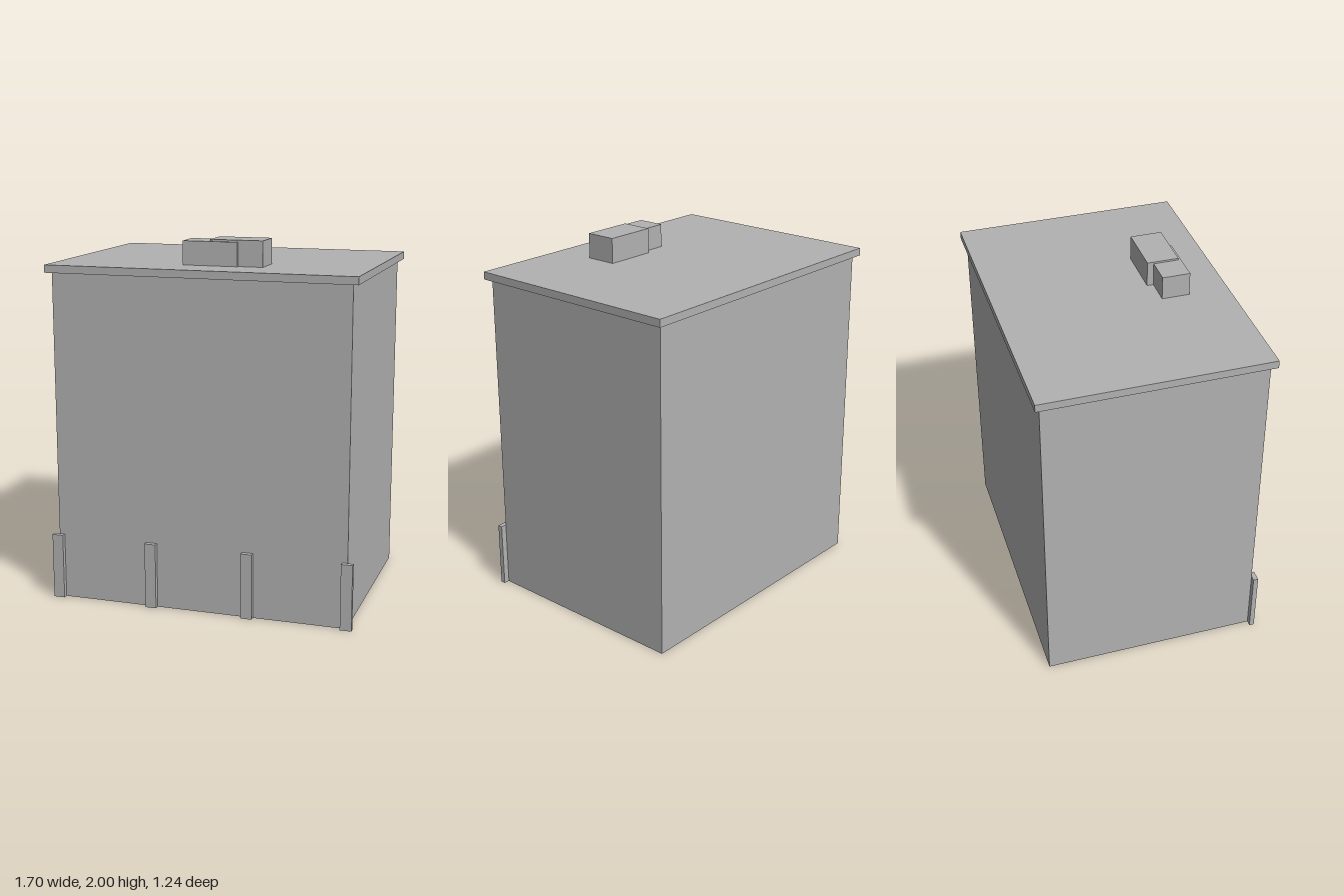
import * as THREE from 'three';

export function createModel() {
  const model = new THREE.Group();
  model.name = 'building';

  const grey = new THREE.MeshStandardMaterial({ color: 0xb2b2b2 });
  grey.name = 'grey';
  const greyShell = new THREE.MeshStandardMaterial({ color: 0xb2b2b2, side: THREE.DoubleSide });
  greyShell.name = 'greyShell';

  // Box given by its lower and upper corners
  function addBox(name, [x0, y0, z0], [x1, y1, z1]) {
    const mesh = new THREE.Mesh(new THREE.BoxGeometry(x1 - x0, y1 - y0, z1 - z0), grey);
    mesh.position.set((x0 + x1) / 2, (y0 + y1) / 2, (z0 + z1) / 2);
    mesh.name = name;
    model.add(mesh);
  }

  // Four thin walls, open underneath
  const halfX = 0.818, halfZ = 0.593, height = 1.82;
  const walls = new THREE.Group();
  walls.name = 'walls';
  ['frontWall', 'leftWall', 'backWall', 'rightWall'].forEach((name, i) => {
    const alongX = i % 2 === 0;
    const wall = new THREE.Mesh(new THREE.PlaneGeometry(2 * (alongX ? halfX : halfZ), height), greyShell);
    const angle = i * Math.PI / 2;
    wall.rotation.y = angle;
    wall.position.set(Math.sin(angle) * halfX, height / 2, Math.cos(angle) * halfZ);
    wall.name = name;
    walls.add(wall);
  });
  model.add(walls);

  // Overhanging roof slab
  addBox('roofSlab', [-0.85, height, -0.62], [0.85, 1.862, 0.62]);

  // Two overlapping rooftop units
  addBox('rooftopUnitRight', [-0.147, 1.862, 0.25], [0.155, 1.99, 0.402]);
  addBox('rooftopUnitLeft', [0, 1.862, 0.215], [0.29, 2, 0.388]);

  // Short pilasters along the front
  for (const x of [-0.819, -0.273, 0.273, 0.819]) {
    addBox('pilaster', [x - 0.031, 0, 0.593], [x + 0.031, 0.364, 0.62]);
  }

  return model;
}
